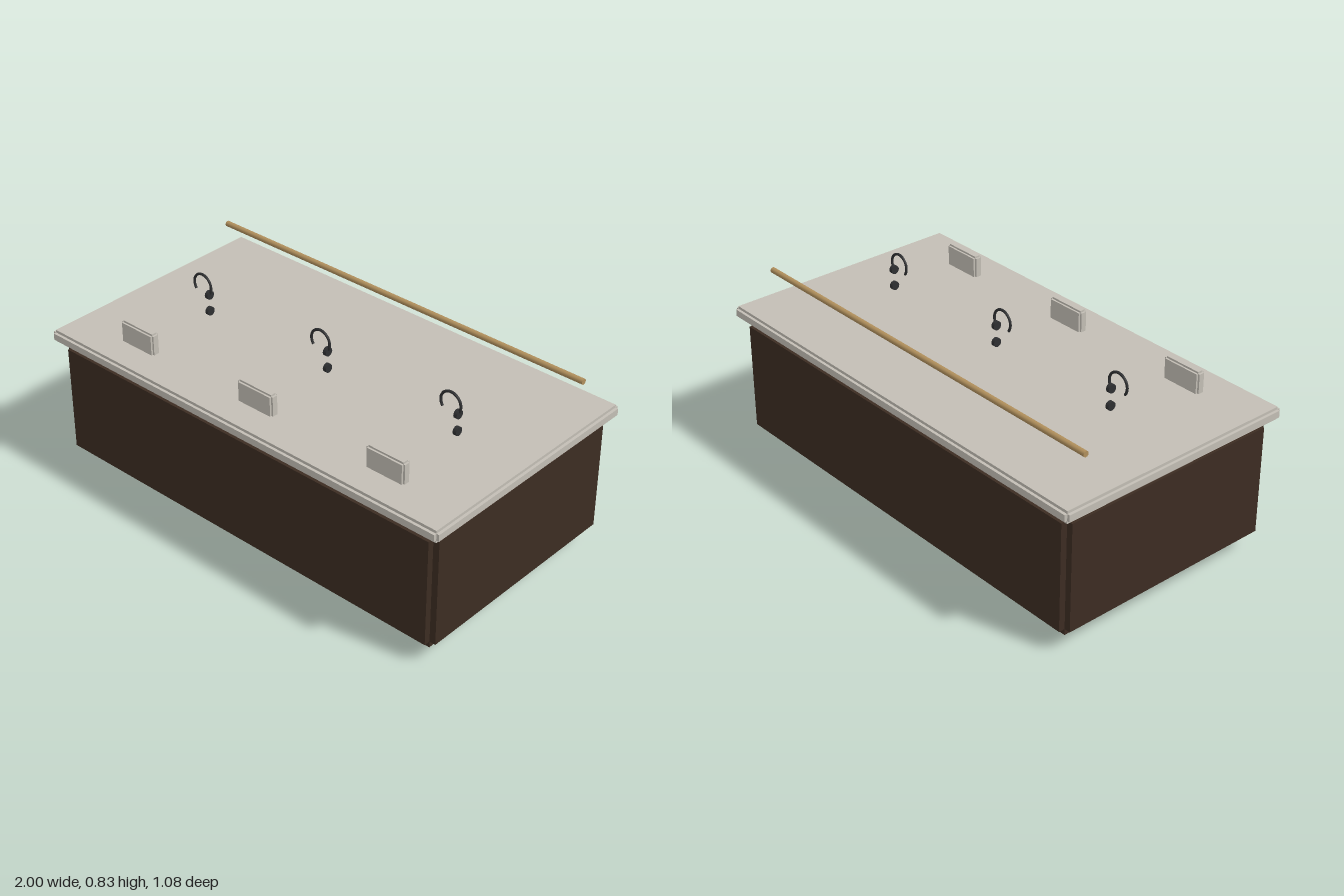
import * as THREE from 'three';

const mat = (name, color) => {
  const m = new THREE.MeshStandardMaterial({ color });
  m.name = name;
  return m;
};

export function createModel() {
  const wood = mat('dark wood', 0x3c2c22);
  const stone = mat('pale stone', 0xc3beb5);
  const plinthGrey = mat('plinth grey', 0x3a3a3b);
  const black = mat('black metal', 0x2e2f31);
  const brass = mat('brass', 0xb08f5c);

  const model = new THREE.Group();
  model.name = 'vanityCounter';

  const add = (parent, name, geometry, material, x = 0, y = 0, z = 0) => {
    const mesh = new THREE.Mesh(geometry, material);
    mesh.name = name;
    mesh.position.set(x, y, z);
    parent.add(mesh);
    return mesh;
  };

  // Block with stepped edges: three crossed boxes, each pushed out along one axis
  const steppedBox = (name, [w, h, d], r, material, x, y, z) => {
    const group = new THREE.Group();
    group.name = name;
    group.position.set(x, y, z);
    const i = 2 * r;
    add(group, name + 'Sides', new THREE.BoxGeometry(w, h - i, d - i), material);
    add(group, name + 'TopBottom', new THREE.BoxGeometry(w - i, h, d - i), material);
    add(group, name + 'FrontBack', new THREE.BoxGeometry(w - i, h - i, d), material);
    model.add(group);
  };

  // Plinth, cabinet and worktop
  steppedBox('plinth', [1.765, 0.09, 0.87], 0.019, plinthGrey, 0, 0.045, 0);
  steppedBox('cabinet', [1.938, 0.52, 1.027], 0.027, wood, 0, 0.329, 0);
  steppedBox('worktop', [2, 0.053, 1.084], 0.012, stone, 0, 0.6175, 0);

  // Three stations: a stone block in front, a hooked spout with two knobs behind
  const startAngle = -0.66;
  const hook = new THREE.TorusGeometry(0.047, 0.0055, 10, 32, Math.PI - 2 * startAngle);
  hook.rotateZ(startAngle);
  const knob = new THREE.CylinderGeometry(0.0185, 0.0185, 0.016, 20);
  knob.rotateZ(Math.PI / 2);

  for (const x of [-0.643, 0, 0.643]) {
    steppedBox('stoneBlock', [0.18, 0.1, 0.04], 0.008, stone, x, 0.686, 0.386);

    const tap = new THREE.Group();
    tap.name = 'tap';
    tap.position.set(x, 0, 0.037);
    add(tap, 'spout', hook, black, 0, 0.776, 0);
    add(tap, 'upperKnob', knob, black, 0.036, 0.743, 0);
    add(tap, 'lowerKnob', knob, black, 0.036, 0.669, 0);
    model.add(tap);
  }

  // Rail along the back
  const rail = new THREE.CylinderGeometry(0.012, 0.012, 1.855, 20);
  rail.rotateZ(Math.PI / 2);
  add(model, 'rail', rail, brass, 0, 0.786, -0.391);

  return model;
}
